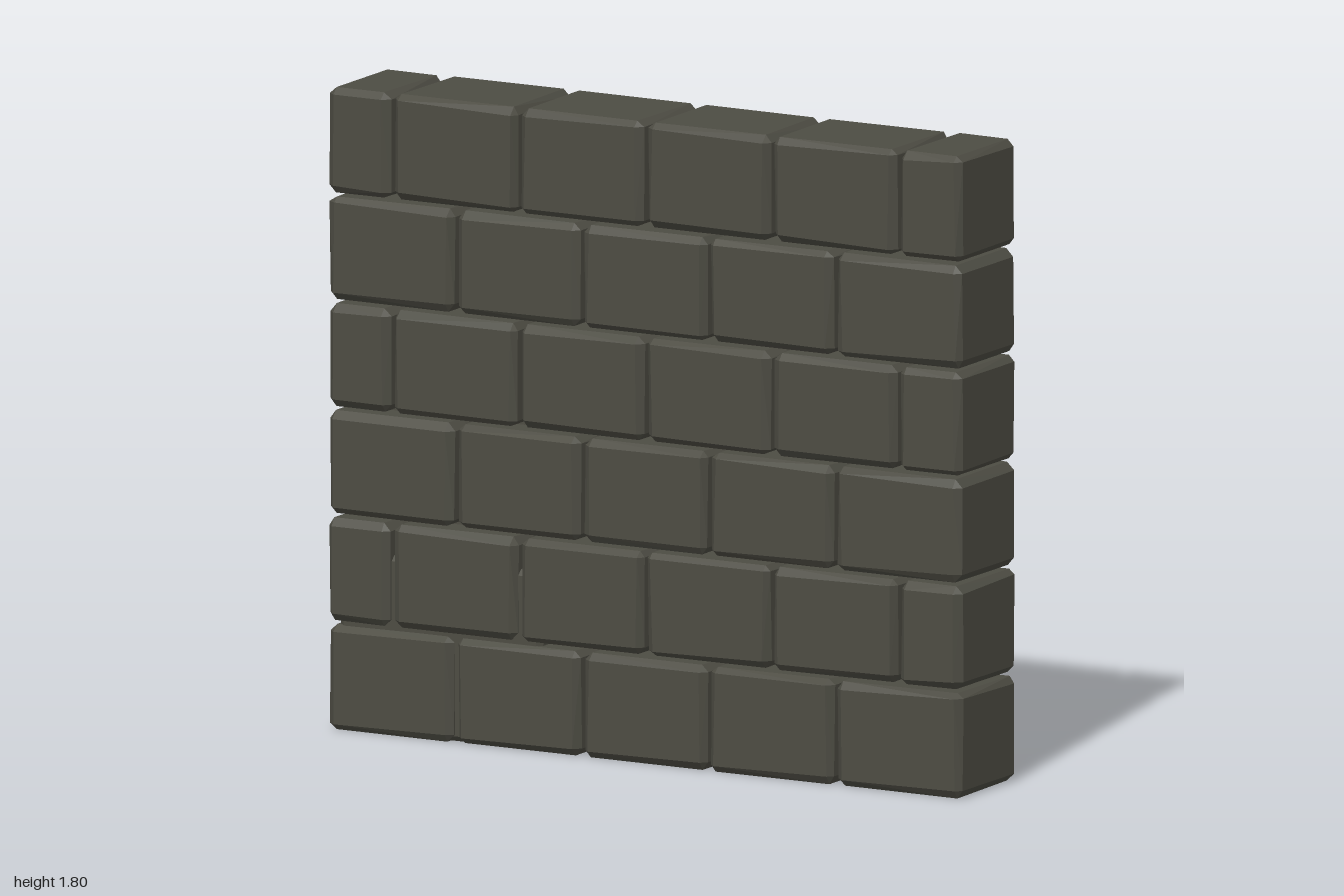
import * as THREE from 'three';
import { ConvexGeometry } from 'three/addons/geometries/ConvexGeometry.js';

// Small seeded generator for the hand-cut unevenness
let seed = 7;
const rand = () => (seed = (seed * 16807) % 2147483647) / 2147483647;

// Chamfered block between two corners; each corner is pulled in a little
function blockGeometry(min, max, bevel, wear) {
  const points = [];
  for (let corner = 0; corner < 8; corner++) {
    const high = [corner & 1, corner & 2, corner & 4];
    const inset = [0, 1, 2].map(() => bevel * (1 + rand() * wear));
    // One point on each of the three faces meeting at this corner
    for (let face = 0; face < 3; face++) {
      const p = [0, 1, 2].map((a) => {
        const d = a === face ? 0 : inset[a];
        return high[a] ? max[a] - d : min[a] + d;
      });
      points.push(new THREE.Vector3(...p));
    }
  }
  return new ConvexGeometry(points);
}

export function createModel() {
  seed = 7;
  const group = new THREE.Group();
  group.name = 'buttressedWall';
  const stone = new THREE.MeshStandardMaterial({ color: 0x4d4c43 });
  stone.name = 'darkStone';

  const add = (parent, name, min, max, bevel, wear) => {
    const mesh = new THREE.Mesh(blockGeometry(min, max, bevel, wear), stone);
    mesh.name = name;
    parent.add(mesh);
  };

  // Six courses in running bond, with half bricks ending every other course
  const wall = new THREE.Group();
  wall.name = 'wall';
  const even = [-1, -0.6, -0.2, 0.2, 0.6, 1];
  const odd = [-1, -0.8, -0.4, 0, 0.4, 0.8, 1];
  for (let row = 0; row < 6; row++) {
    const joints = row % 2 ? odd : even;
    const y = row * 0.3;
    for (let i = 0; i < joints.length - 1; i++) {
      const x0 = joints[i] + (i ? 0.006 : 0);
      const x1 = joints[i + 1] - (i < joints.length - 2 ? 0.006 : 0);
      add(wall, 'brick', [x0, y + (row ? 0.005 : 0), 0.09],
        [x1, y + (row < 5 ? 0.294 : 0.3), 0.41], 0.014, 0.7);
    }
  }
  group.add(wall);

  // Three stepped blocks bracing the back of the wall
  const buttress = new THREE.Group();
  buttress.name = 'buttress';
  for (let i = 0; i < 3; i++) {
    const halfWidth = 0.32 - i * 0.05;
    const halfDepth = 0.4 - i * 0.075;
    add(buttress, 'buttressBlock', [-0.655 - halfWidth, i * 0.502, -0.01 - halfDepth],
      [-0.655 + halfWidth, i * 0.502 + 0.502, -0.01 + halfDepth], 0.014, 0.3);
  }
  group.add(buttress);
  return group;
}
